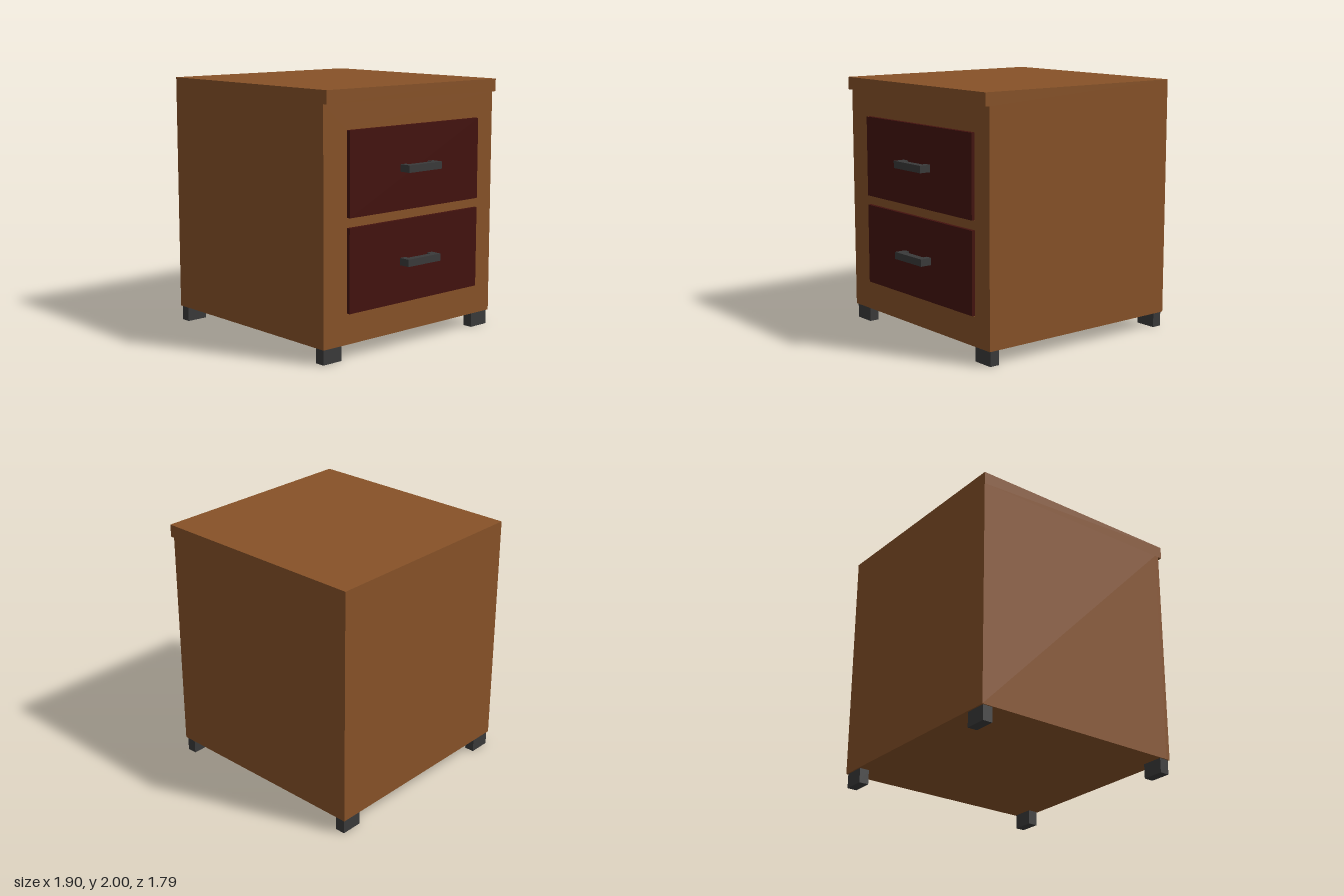
import * as THREE from 'three';

const wood = new THREE.MeshStandardMaterial({ color: 0x875228 });
const drawerRed = new THREE.MeshStandardMaterial({ color: 0x43120e });
const darkMetal = new THREE.MeshStandardMaterial({ color: 0x3a3a3a });

// Box given by its minimum and maximum corners
function box(name, material, [x0, y0, z0], [x1, y1, z1]) {
  const mesh = new THREE.Mesh(new THREE.BoxGeometry(x1 - x0, y1 - y0, z1 - z0), material);
  mesh.position.set((x0 + x1) / 2, (y0 + y1) / 2, (z0 + z1) / 2);
  mesh.name = name;
  return mesh;
}

function rectangle(path, x0, y0, x1, y1) {
  path.moveTo(x0, y0);
  path.lineTo(x1, y0);
  path.lineTo(x1, y1);
  path.lineTo(x0, y1);
  path.closePath();
  return path;
}

// U-shaped pull: two posts joined by a bar, as one solid
function makeHandle(y) {
  const [inner, bar, outer] = [0.85, 0.89, 0.948];
  const [z0, z1, post] = [-0.203, 0.143, 0.055];
  const outline = [
    [inner, z0], [outer, z0], [outer, z1], [inner, z1],
    [inner, z1 - post], [bar, z1 - post], [bar, z0 + post], [inner, z0 + post],
  ].map(([x, z]) => new THREE.Vector2(x, -z));
  const geometry = new THREE.ExtrudeGeometry(new THREE.Shape(outline), { depth: 0.056, bevelEnabled: false });
  geometry.rotateX(-Math.PI / 2);
  const mesh = new THREE.Mesh(geometry, darkMetal);
  mesh.position.y = y;
  mesh.name = 'handle';
  return mesh;
}

export function createModel() {
  const model = new THREE.Group();
  model.name = 'bedsideCabinet';
  const half = 0.893;
  const drawerBottoms = [0.35, 1.062];
  const drawerHeight = 0.637;

  // Carcass and overhanging top
  model.add(box('carcass', wood, [-0.95, 0.117, -half], [0.8, 1.9, half]));
  model.add(box('top', wood, [-0.95, 1.9, -half], [0.87, 2, half]));

  // Face frame with an opening for each drawer
  const face = rectangle(new THREE.Shape(), -half, 0.117, half, 1.9);
  for (const y of drawerBottoms) {
    face.holes.push(rectangle(new THREE.Path(), -0.666, y - 0.003, 0.72, y + drawerHeight + 0.003));
  }
  const frameGeometry = new THREE.ExtrudeGeometry(face, { depth: 0.035, bevelEnabled: false });
  frameGeometry.rotateY(Math.PI / 2);
  const frame = new THREE.Mesh(frameGeometry, wood);
  frame.position.x = 0.8;
  frame.name = 'faceFrame';
  model.add(frame);

  // Drawers with their pulls
  drawerBottoms.forEach((y, i) => {
    const drawer = new THREE.Group();
    drawer.name = i ? 'upperDrawer' : 'lowerDrawer';
    drawer.add(box('drawerFront', drawerRed, [0.79, y, -0.711], [0.855, y + drawerHeight, 0.657]));
    drawer.add(makeHandle(y + 0.292));
    model.add(drawer);
  });

  // Four block feet
  for (const [x0, x1] of [[-0.938, -0.858], [0.742, 0.822]]) {
    for (const [z0, z1] of [[-0.883, -0.707], [0.709, 0.885]]) {
      model.add(box('foot', darkMetal, [x0, 0, z0], [x1, 0.117, z1]));
    }
  }
  return model;
}
